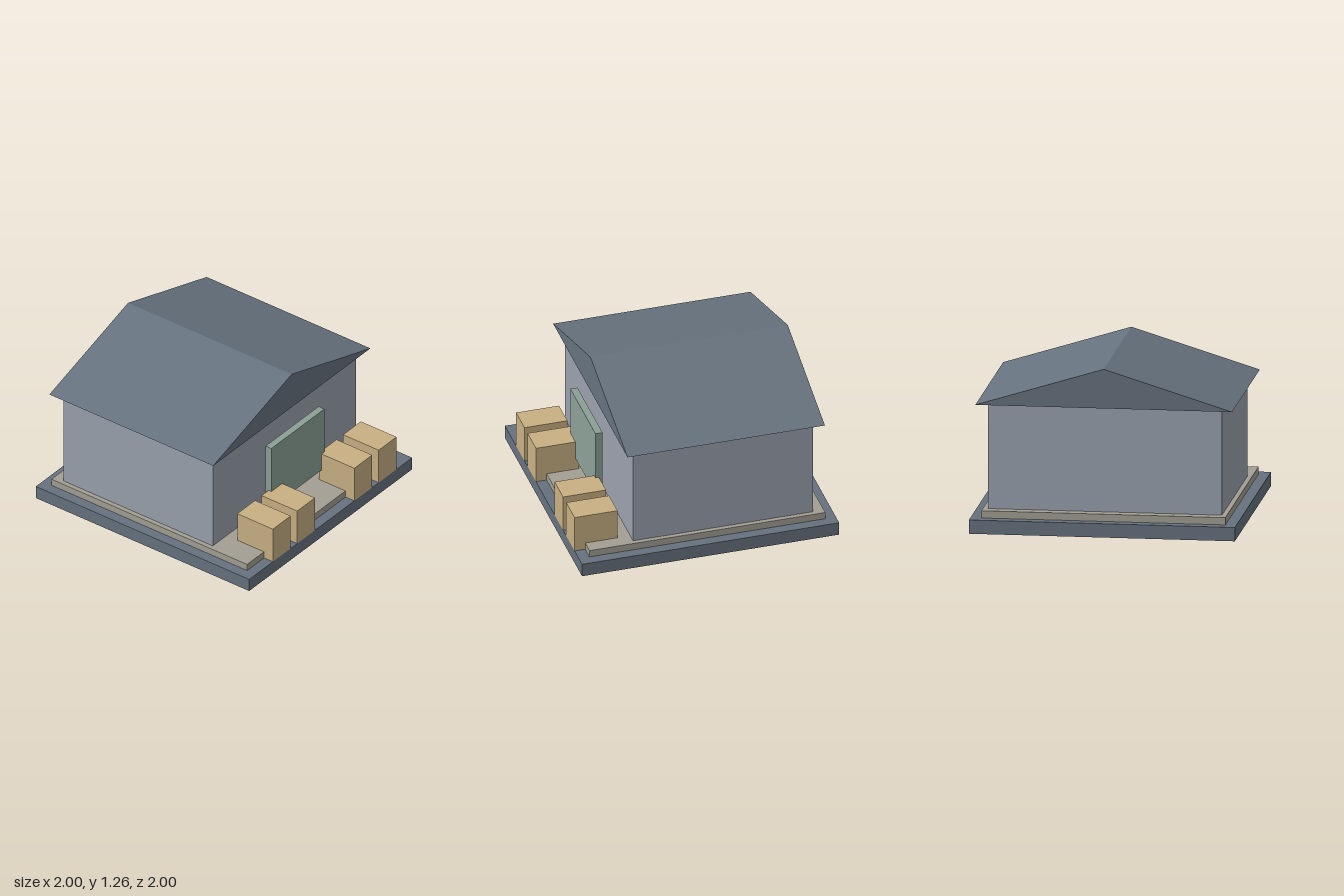
import * as THREE from 'three';

const material = (name, color) => {
  const m = new THREE.MeshStandardMaterial({ color });
  m.name = name;
  return m;
};

export function createModel() {
  const slate = material('slate', 0x66727e);
  const wallGrey = material('wallGrey', 0x9aa1ae);
  const stone = material('stone', 0xa39f94);
  const doorGreen = material('doorGreen', 0x8ba096);
  const crateTan = material('crateTan', 0xc8b083);

  const model = new THREE.Group();
  model.name = 'warehouse';

  // Box given by its extents on each axis
  const addBox = (name, mat, [x0, x1], [y0, y1], [z0, z1]) => {
    const mesh = new THREE.Mesh(new THREE.BoxGeometry(x1 - x0, y1 - y0, z1 - z0), mat);
    mesh.position.set((x0 + x1) / 2, (y0 + y1) / 2, (z0 + z1) / 2);
    mesh.name = name;
    model.add(mesh);
  };

  // Ground slab, plinth, walls and front door panel
  addBox('groundSlab', slate, [-1, 1], [0, 0.105], [-1, 1]);
  addBox('plinth', stone, [-0.917, 0.917], [0.105, 0.16], [-0.917, 0.917]);
  addBox('walls', wallGrey, [-0.88, 0.88], [0.16, 0.962], [-0.832, 0.567]);
  addBox('doorPanel', doorGreen, [-0.325, 0.325], [0.255, 0.79], [0.638, 0.693]);

  // Gable roof as a closed prism along z
  const gable = new THREE.Shape([
    new THREE.Vector2(-0.965, 0.962),
    new THREE.Vector2(0.965, 0.962),
    new THREE.Vector2(0, 1.26),
  ]);
  const roof = new THREE.Mesh(
    new THREE.ExtrudeGeometry(gable, { depth: 1.535, bevelEnabled: false }), slate);
  roof.position.z = -0.9;
  roof.name = 'roof';
  model.add(roof);

  // Row of crates along the front edge
  [-0.6, -0.302, 0.4, 0.698].forEach((x, i) =>
    addBox(`crate${i + 1}`, crateTan, [x - 0.109, x + 0.109], [0.105, 0.4], [0.666, 1]));

  return model;
}
